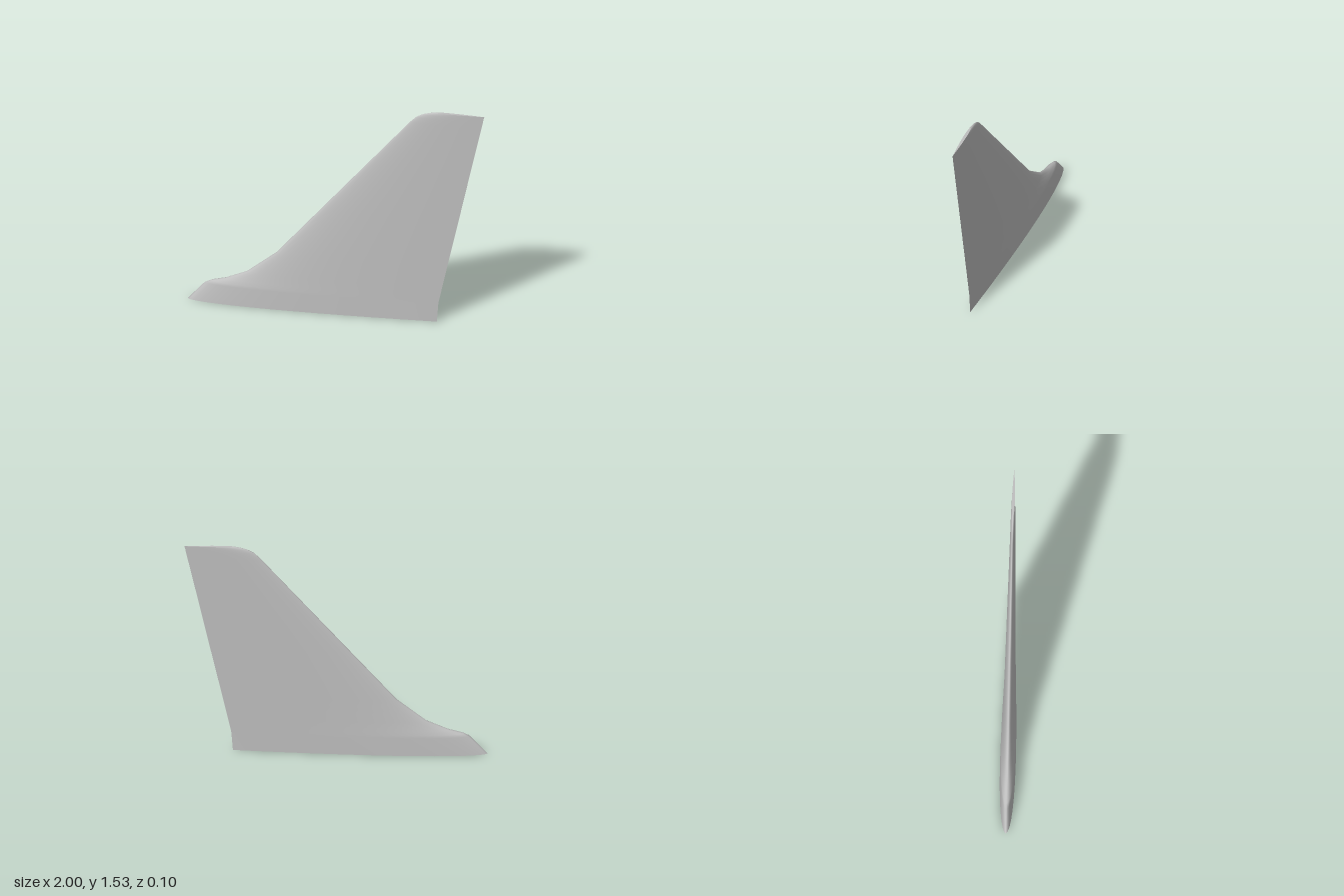
import * as THREE from 'three';

// Fin stations: height, leading edge x, trailing edge x
const STATIONS = [
  [0, -1, 0.68], [0.13, -0.885, 0.69], [0.15, -0.845, 0.693], [0.175, -0.75, 0.699],
  [0.24, -0.6, 0.713], [0.4, -0.4, 0.748], [0.75, -0.1, 0.826], [1.1, 0.2, 0.903],
  [1.45, 0.5, 0.981], [1.49, 0.54, 0.99], [1.515, 0.585, 0.995], [1.528, 0.63, 0.998], [1.535, 0.67, 1],
];
const SEGMENTS = 40;
const THICKNESS = 0.062;

// Symmetric aerofoil section, from the trailing edge round the nose and back
function section([y, lead, trail]) {
  const chord = trail - lead;
  return Array.from({ length: SEGMENTS + 1 }, (_, i) => {
    const angle = (i / SEGMENTS) * Math.PI * 2;
    const t = (1 + Math.cos(angle)) / 2;
    const half = 5 * THICKNESS * (0.2969 * Math.sqrt(t) - 0.126 * t - 0.3516 * t ** 2 + 0.2843 * t ** 3 - 0.1036 * t ** 4);
    const side = i <= SEGMENTS / 2 ? 1 : -1;
    return [lead + t * chord, y, side * Math.max(half, 0) * chord];
  });
}

function buildGeometry(points, index) {
  const geometry = new THREE.BufferGeometry();
  geometry.setAttribute('position', new THREE.Float32BufferAttribute(points.flat(), 3));
  geometry.setIndex(index);
  geometry.computeVertexNormals();
  return geometry;
}

// Skin lofted through all the sections
function skinGeometry(rings) {
  const index = [];
  const row = SEGMENTS + 1;
  for (let j = 0; j < rings.length - 1; j++) {
    for (let i = 0; i < SEGMENTS; i++) {
      const a = j * row + i, b = a + 1, c = b + row, d = a + row;
      index.push(a, d, c, a, c, b);
    }
  }
  return buildGeometry(rings.flat(), index);
}

// Flat end closing one section
function capGeometry(ring, up) {
  const index = [];
  for (let i = 1; i < SEGMENTS - 1; i++) index.push(0, ...(up ? [i + 1, i] : [i, i + 1]));
  return buildGeometry(ring, index);
}

export function createModel() {
  const model = new THREE.Group();
  model.name = 'tailFin';
  const paint = new THREE.MeshStandardMaterial({ color: 0xbfbfbf });
  paint.name = 'light grey';
  const rings = STATIONS.map(section);

  const add = (name, geometry) => {
    const mesh = new THREE.Mesh(geometry, paint);
    mesh.name = name;
    model.add(mesh);
  };
  add('finSkin', skinGeometry(rings));
  add('finTip', capGeometry(rings[rings.length - 1], true));
  add('finRoot', capGeometry(rings[0], false));
  return model;
}
